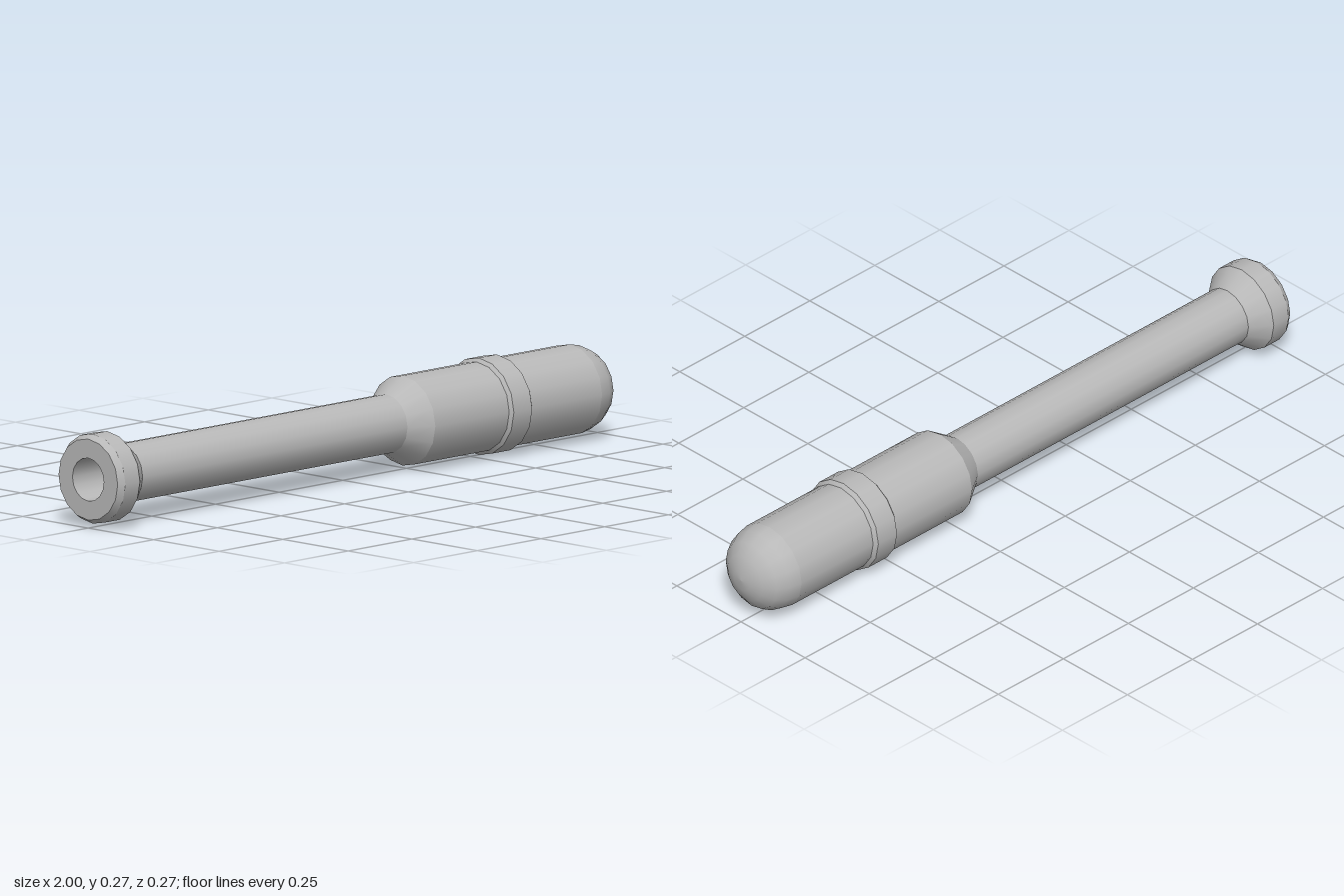
import * as THREE from 'three';

const SIDES = 16;
const AXIS_Y = 0.135;

export function createModel() {
  const model = new THREE.Group();
  model.name = 'rod';
  const grey = new THREE.MeshStandardMaterial({ color: 0xb8b8b8 });
  grey.name = 'grey';

  // Turned part along x: each band of [x, radius] points is smooth, with sharp edges between bands
  function turned(name, bands) {
    const part = new THREE.Group();
    part.name = name;
    for (const band of bands) {
      const points = band.map(([x, r]) => new THREE.Vector2(r, x));
      const mesh = new THREE.Mesh(new THREE.LatheGeometry(points, SIDES), grey);
      mesh.name = name + 'Surface';
      mesh.rotation.z = -Math.PI / 2;
      part.add(mesh);
    }
    part.position.y = AXIS_Y;
    model.add(part);
  }

  // Split a profile into one sharp-edged band per segment
  const sharp = (pts) => pts.slice(1).map((p, i) => [pts[i], p]);

  // Blind bore in the butt end
  turned('bore', sharp([[-0.75, 0], [-0.75, 0.06], [-1, 0.06]]));

  // Flared butt with a bevelled rim
  turned('buttFlange', sharp([
    [-1, 0.06], [-1, 0.113], [-0.982, 0.125], [-0.925, 0.125], [-0.87, 0.082],
  ]));

  turned('shaft', [[[-0.87, 0.082], [0.17, 0.082]]]);

  // Thick barrel with a shoulder and a rounded tip
  turned('barrel', [
    [[0.17, 0.082], [0.235, 0.125]],
    [[0.235, 0.125], [0.57, 0.125]],
    [[0.57, 0.125], [0.89, 0.125]],
    [[0.89, 0.125], [0.928, 0.118], [0.96, 0.1], [0.984, 0.068], [0.997, 0.032], [1, 0]],
  ]);

  // Raised band around the barrel
  turned('collar', sharp([
    [0.525, 0.125], [0.533, 0.135], [0.605, 0.135], [0.615, 0.125],
  ]));

  return model;
}
